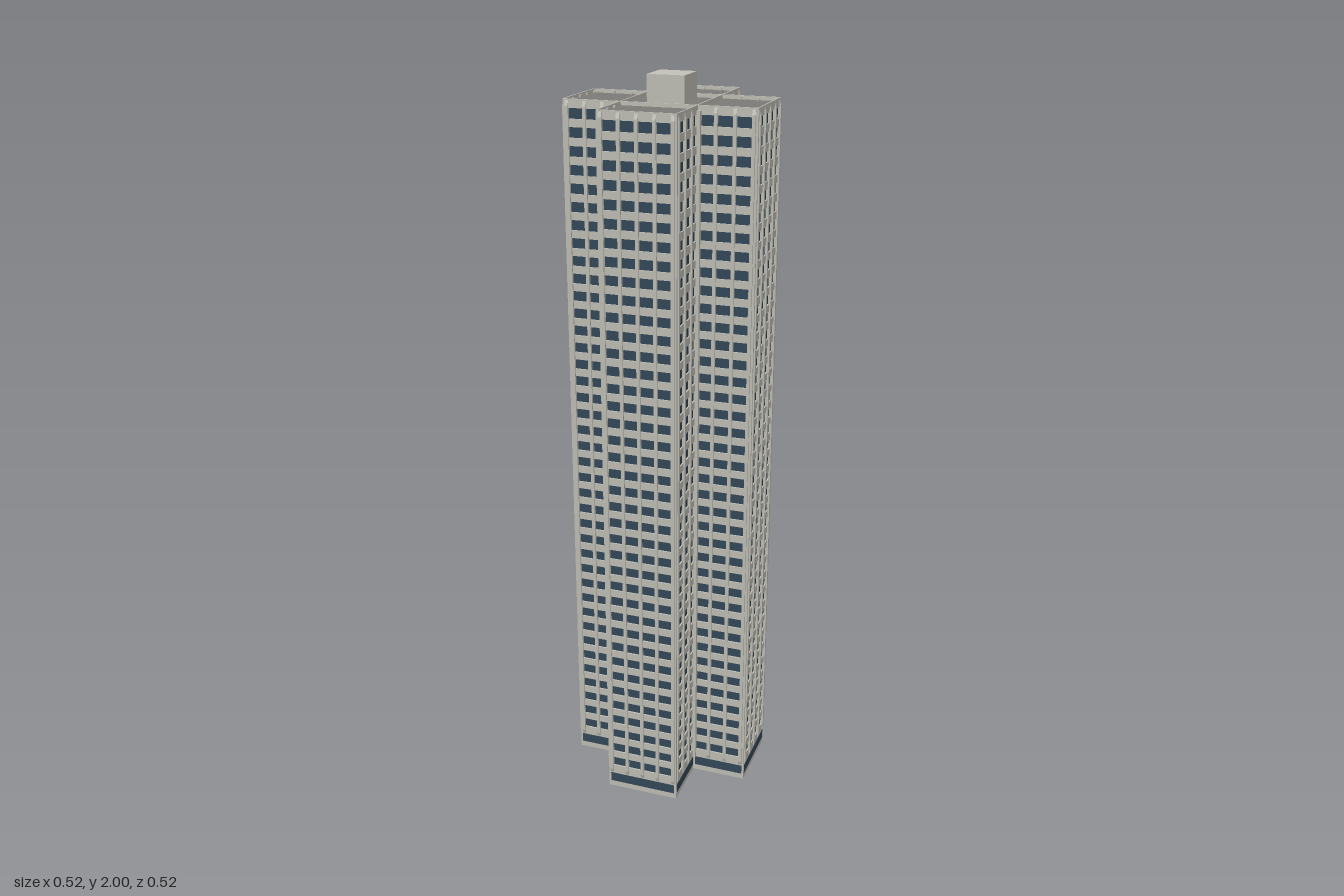
import * as THREE from 'three';
import { mergeGeometries } from 'three/addons/utils/BufferGeometryUtils.js';

const A = 0.103, B = 0.258;          // half width of an arm, reach of an arm
const BASE = 0.047, TOP = 1.938;     // top of ground floor, top of parapet
const ROWS = 39, PITCH = 0.0478, FIRST = 0.085, WIN = 0.027;

const mat = (name, color) => {
  const m = new THREE.MeshStandardMaterial({ color });
  m.name = name;
  return m;
};

// box given by centre x/z, size, and bottom/top heights
function box(x, z, w, d, y0, y1) {
  return new THREE.BoxGeometry(w, y1 - y0, d).translate(x, (y0 + y1) / 2, z);
}

// plus-shaped slab between two heights
function cross(a, b, y0, y1) {
  const pts = [[a, a], [a, b], [-a, b], [-a, a], [-b, a], [-b, -a],
    [-a, -a], [-a, -b], [a, -b], [a, -a], [b, -a], [b, a]];
  const s = new THREE.Shape(pts.map(p => new THREE.Vector2(...p)));
  return new THREE.ExtrudeGeometry(s, { depth: y1 - y0, bevelEnabled: false })
    .rotateX(-Math.PI / 2).translate(0, y0, 0);
}

// vertical fin with sloped ends, standing out along +z from z = 0
function fin() {
  const w = 0.009;
  const s = new THREE.Shape([[-0.008, BASE], [0, BASE], [0.004, BASE + 0.012],
    [0.004, TOP - 0.018], [0, TOP - 0.004], [-0.008, TOP - 0.004]]
    .map(p => new THREE.Vector2(...p)));
  return new THREE.ExtrudeGeometry(s, { depth: w, bevelEnabled: false })
    .translate(0, 0, -w / 2).rotateY(-Math.PI / 2);
}

// four copies turned about the vertical axis
function around(geos) {
  const out = [];
  for (let i = 0; i < 4; i++)
    for (const g of geos) out.push(g.clone().rotateY(i * Math.PI / 2));
  return out;
}

// thin walls around both crossing bars
function barWalls(y0, y1, t) {
  return around([
    box(0, A - t / 2, 2 * B, t, y0, y1),
    box(0, B - t / 2, 2 * A, t, y0, y1)
  ]);
}

export function createModel() {
  const group = new THREE.Group();
  const wall = mat('concrete', 0xc3c2b9);
  const glass = mat('window glass', 0x34495a);
  const roof = mat('roof grey', 0x7d7b76);

  const add = (name, geos, material) => {
    const mesh = new THREE.Mesh(mergeGeometries(geos), material);
    mesh.name = name;
    group.add(mesh);
  };

  // recessed glass core
  add('glassCore', [cross(A - 0.004, B - 0.004, BASE + 0.005, 1.92)], glass);

  // spandrel bands between window rows
  const bands = [];
  for (let i = 0; i <= ROWS; i++) {
    const y0 = i === 0 ? BASE : FIRST + (i - 1) * PITCH + WIN / 2;
    const y1 = i === ROWS ? 1.925 : FIRST + i * PITCH - WIN / 2;
    bands.push(cross(A, B, y0, y1));
  }
  add('floorBands', bands, wall);

  // outer and inner corner posts
  const s = 0.015;
  add('cornerPosts', around([
    box(A - s / 2, B - s / 2, s, s, BASE, 1.925),
    box(-A + s / 2, B - s / 2, s, s, BASE, 1.925),
    box(A, A, 0.018, 0.018, BASE, 1.925)
  ]), wall);

  // fins on the arm ends and arm sides
  const fins = [];
  for (const x of [-0.093, -0.0465, 0, 0.0465, 0.093])
    fins.push(fin().translate(x, 0, B));
  for (const x of [0.15, 0.199, 0.247])
    for (const side of [1, -1])
      fins.push(fin().translate(side * x, 0, A));
  add('verticalFins', around(fins), wall);

  // open ground floor with window strips
  add('groundWalls', barWalls(0, BASE, 0.004), wall);
  const strips = [box(0, B, 2 * A - 0.012, 0.002, 0.017, 0.044)];
  for (const side of [1, -1])
    strips.push(box(side * (A + B) / 2, A, B - A - 0.012, 0.002, 0.017, 0.044));
  add('groundWindows', around(strips), glass);
  add('underside', [cross(A - 0.002, B - 0.002, BASE - 0.002, BASE + 0.002)], roof);

  // roof deck, parapet rims and rooftop block
  add('roofDeck', [cross(A - 0.002, B - 0.002, 1.922, 1.928)], roof);
  add('parapet', barWalls(1.92, TOP, 0.0035), wall);
  add('rooftopBlock', [box(0, 0, 0.1, 0.1, 1.925, 2)], wall);

  return group;
}
